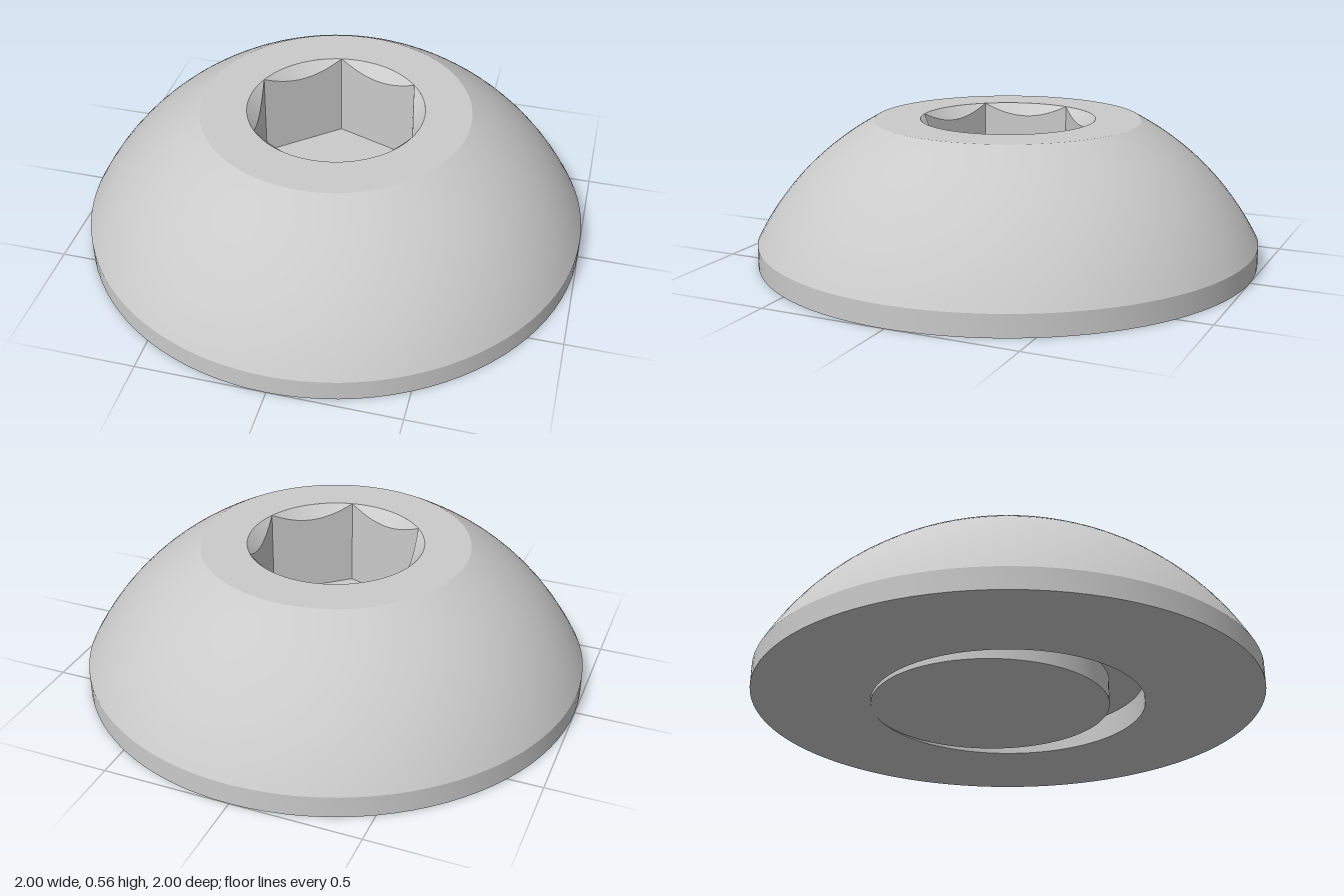
import * as THREE from 'three';
import { toCreasedNormals } from 'three/addons/utils/BufferGeometryUtils.js';

const SEGMENTS = 96;
const TOP = 0.556;          // height of the flat crown
const RIM = 0.348;          // radius of the socket mouth
const APOTHEM = RIM * Math.cos(Math.PI / 6); // half the width across the hexagon flats
const FLOOR = 0.2;          // height of the socket floor
const TURN = THREE.MathUtils.degToRad(19.4); // direction of the first hexagon corner

// A closed loop of points; radius and height may depend on the angle from a corner
function ring(radius, height, cz = 0) {
  const points = [];
  for (let i = 0; i <= SEGMENTS; i++) {
    const a = ((i % SEGMENTS) / SEGMENTS) * Math.PI * 2;
    const r = typeof radius === 'function' ? radius(a) : radius;
    const y = typeof height === 'function' ? height(a) : height;
    points.push(new THREE.Vector3(r * Math.cos(a + TURN), y, cz + r * Math.sin(a + TURN)));
  }
  return points;
}

// A strip of faces between two loops; it faces the axis when the second loop is higher
function loft(first, second) {
  const points = [];
  for (let i = 0; i < SEGMENTS; i++) {
    points.push(first[i], first[i + 1], second[i]);
    points.push(first[i + 1], second[i + 1], second[i]);
  }
  const geometry = new THREE.BufferGeometry().setFromPoints(points);
  geometry.computeVertexNormals();
  return toCreasedNormals(geometry, 0.4);
}

export function createModel() {
  const group = new THREE.Group();
  group.name = 'buttonHead';
  const steel = new THREE.MeshStandardMaterial({ color: 0xcacaca });
  steel.name = 'steel grey';

  function add(name, geometry) {
    const mesh = new THREE.Mesh(geometry, steel);
    mesh.name = name;
    group.add(mesh);
  }

  // Underside, short straight edge, rounded dome and flat crown
  const arc = new THREE.QuadraticBezierCurve(
    new THREE.Vector2(1, 0.085),
    new THREE.Vector2(0.84, 0.39),
    new THREE.Vector2(0.53, TOP)
  );
  const profile = [
    new THREE.Vector2(0.54, 0),
    new THREE.Vector2(1, 0),
    ...arc.getPoints(20),
    new THREE.Vector2(RIM, TOP)
  ];
  add('domedHead', toCreasedNormals(new THREE.LatheGeometry(profile, SEGMENTS), 0.3));

  // Hexagonal socket, its top trimmed by a 45 degree countersink
  const hexRadius = (a) => APOTHEM / Math.cos((a % (Math.PI / 3)) - Math.PI / 6);
  const trimHeight = (a) => TOP - (RIM - hexRadius(a));
  const hexBottom = ring(hexRadius, FLOOR);
  const hexTop = ring(hexRadius, trimHeight);
  add('socketCountersink', loft(hexTop, ring(RIM, TOP)));
  add('socketWalls', loft(hexBottom, hexTop));
  add('socketFloor', loft(ring(0, FLOOR), hexBottom));

  // Thread run-out: a crescent groove around an off-centre stub that meets the rim at the back
  const grooveDepth = 0.1;
  const stubOffset = -0.07;
  const grooveTop = ring(0.54, grooveDepth);
  const stubRoot = ring(0.47, grooveDepth, stubOffset);
  const stubEnd = ring(0.47, 0, stubOffset);
  add('grooveWall', loft(ring(0.54, 0), grooveTop));
  add('grooveRoof', loft(grooveTop, stubRoot));
  add('stubWall', loft(stubRoot, stubEnd));
  add('stubFace', loft(stubEnd, ring(0, 0, stubOffset)));

  return group;
}
